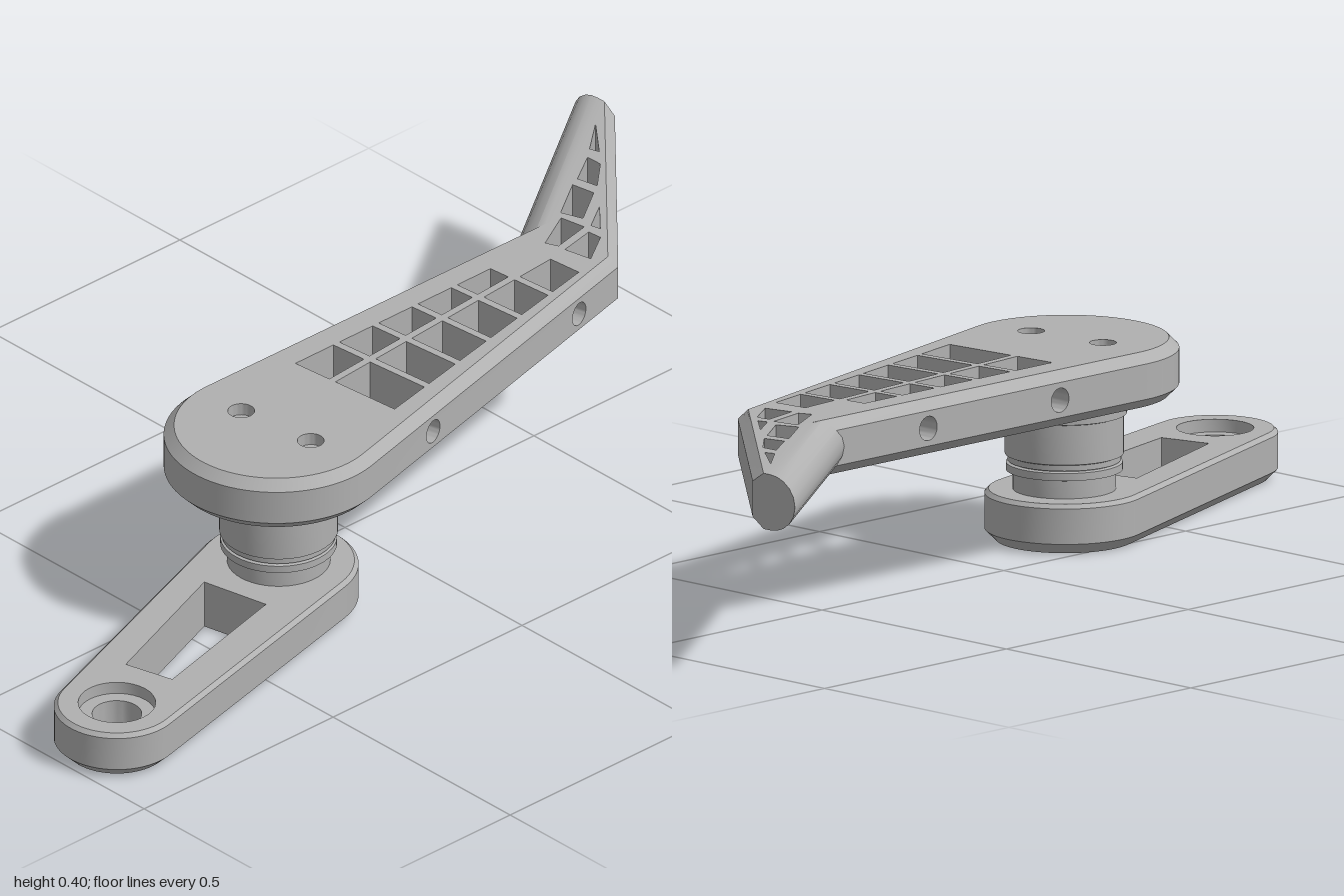
import * as THREE from 'three';
import { toCreasedNormals } from 'three/addons/utils/BufferGeometryUtils.js';

const grey = new THREE.MeshStandardMaterial({ color: 0xb0b0b0 });
grey.name = 'bare metal grey';

// Points on an arc in the (x, z) plane, angles in degrees
function arc(cx, cz, r, from, to, n) {
  return Array.from({ length: n + 1 }, (_, i) => {
    const t = THREE.MathUtils.degToRad(from + ((to - from) * i) / n);
    return [cx + r * Math.cos(t), cz + r * Math.sin(t)];
  });
}
const circle = (cx, cz, r) => arc(cx, cz, r, 0, 360, 32).slice(0, -1);

const area = (pts) => pts.reduce((s, p, i) => {
  const q = pts[(i + 1) % pts.length];
  return s + p[0] * q[1] - q[0] * p[1];
}, 0);
const wound = (pts) => (area(pts) < 0 ? [...pts].reverse() : pts);

// Outward unit normal of each outline edge
const edgeNormals = (pts) => pts.map((p, i) => {
  const q = pts[(i + 1) % pts.length];
  const dx = q[0] - p[0], dz = q[1] - p[1], l = Math.hypot(dx, dz);
  return [dz / l, -dx / l];
});

// Move each edge inward by its own distance and re-intersect the corners
function inset(pts, dist) {
  const n = edgeNormals(pts);
  return pts.map((p, i) => {
    const h = (i + pts.length - 1) % pts.length;
    const [a, b] = [n[h], n[i]], [d, e] = [dist(h), dist(i)];
    const det = a[0] * b[1] - a[1] * b[0];
    if (Math.abs(det) < 1e-3) return [p[0] - b[0] * e, p[1] - b[1] * e];
    return [p[0] + (e * a[1] - d * b[1]) / det, p[1] + (d * b[0] - e * a[0]) / det];
  });
}

// Plate with a shaped edge profile, through holes, pockets in both faces and bores in its edges
function plate({ outline, levels, dist, holes = [], top = [], bottom = [], throughs = [], bores = {}, flat }) {
  const pos = [];
  const tri = (a, b, c, flip) => (flip ? pos.push(...a, ...c, ...b) : pos.push(...a, ...b, ...c));
  const band = (lo, hi, i, flip) => {
    const j = (i + 1) % lo.length;
    tri(lo[i], hi[i], lo[j], flip);
    tri(lo[j], hi[i], hi[j], flip);
  };
  const ring = (lo, hi, flip) => lo.forEach((_, i) => band(lo, hi, i, flip));
  const cap = (contour, inner, map, mirror) => {
    const v = (l) => l.map((p) => new THREE.Vector2(p[0], p[1]));
    const all = [contour, ...inner].flat();
    for (const f of THREE.ShapeUtils.triangulateShape(v(contour), inner.map(v))) {
      const t = f.map((k) => all[k]);
      tri(...t.map(map), (area(t) > 0) !== mirror);
    }
  };
  const pocket = ({ pts, depth, inner }, map, mirror) => {
    const at = (h) => (p) => map(p, h);
    ring(pts.map(at(-depth)), pts.map(at(0)), !mirror);
    cap(pts, inner ? [inner] : [], at(-depth), mirror);
  };

  // Edge profile
  const loops = levels.map((y) => inset(outline, (i) => dist(i, y)).map((p) => [p[0], y, p[1]]));
  for (let k = 0; k + 1 < loops.length; k++) {
    const mid = flat && levels[k] >= flat[0] - 1e-6 && levels[k + 1] <= flat[1] + 1e-6;
    outline.forEach((_, i) => { if (!(mid && bores[i])) band(loops[k], loops[k + 1], i, false); });
  }

  // Bored edge walls
  const normals = edgeNormals(outline);
  for (const i in bores) {
    const n = normals[i], u = [-n[1], n[0]], o = outline[i];
    const map = ([s, y], h) => [o[0] + u[0] * s + n[0] * h, y, o[1] + u[1] * s + n[1] * h];
    const flatten = (p) => [(p[0] - o[0]) * u[0] + (p[2] - o[1]) * u[1], p[1]];
    const mids = loops.filter((_, k) => levels[k] >= flat[0] - 1e-6 && levels[k] <= flat[1] + 1e-6);
    const j = (Number(i) + 1) % outline.length;
    const wall = [...mids.map((l) => flatten(l[j])), ...mids.map((l) => flatten(l[i])).reverse()];
    const rings = bores[i].map((x) => circle((x - o[0]) / u[0], (flat[0] + flat[1]) / 2, 0.024));
    cap(wall, rings, (p) => map(p, 0), false);
    rings.forEach((pts) => pocket({ pts, depth: 0.05 }, map, false));
  }

  // Top and bottom faces with their holes
  const y0 = levels[0], y1 = levels[levels.length - 1];
  const up = (p, h) => [p[0], y1 + h, p[1]], down = (p, h) => [p[0], y0 - h, p[1]];
  const cut = holes.map(wound);
  const flatLoop = (l) => l.map((p) => [p[0], p[2]]);
  cap(flatLoop(loops[loops.length - 1]), [...cut, ...top.map((p) => p.pts)], (p) => up(p, 0), false);
  cap(flatLoop(loops[0]), [...cut, ...bottom.map((p) => p.pts)], (p) => down(p, 0), true);
  top.forEach((p) => pocket(p, up, false));
  bottom.forEach((p) => pocket(p, down, true));
  for (const t of [...cut.map((pts) => ({ pts, lo: y0, hi: y1 })), ...throughs])
    ring(t.pts.map((p) => [p[0], t.lo, p[1]]), t.pts.map((p) => [p[0], t.hi, p[1]]), true);

  const g = new THREE.BufferGeometry();
  g.setAttribute('position', new THREE.Float32BufferAttribute(pos, 3));
  return toCreasedNormals(g, 0.5);
}

// Lower link: two rounded ends, a long slot and a counterbored eye
function lowerLink() {
  const a = { x: -0.88, z: 0.295, r: 0.122 }, b = { x: -0.29, z: 0.12, r: 0.156 };
  const dir = Math.atan2(b.z - a.z, b.x - a.x);
  const len = Math.hypot(b.x - a.x, b.z - a.z);
  const deg = THREE.MathUtils.radToDeg;
  const side = deg(Math.acos((a.r - b.r) / len)), d = deg(dir);
  const outline = [
    ...arc(b.x, b.z, b.r, d - side, d + side, 32),
    ...arc(a.x, a.z, a.r, d + side, d + 360 - side, 28),
  ];
  const eye = circle(a.x, a.z, 0.048);
  return plate({
    outline,
    levels: [0, 0.022, 0.092, 0.1],
    dist: (i, y) => Math.max(0, 0.022 - y, y - 0.092),
    holes: [[[-0.77, 0.203], [-0.45, 0.083], [-0.42, 0.225], [-0.743, 0.305]]],
    top: [{ pts: circle(a.x, a.z, 0.075), depth: 0.025, inner: eye }],
    bottom: [
      { pts: circle(a.x, a.z, 0.085), depth: 0.025, inner: eye },
      ...[-45, 75, 195].map((t) => {
        const [[x, z]] = arc(b.x, b.z, 0.06, t, t, 1);
        return { pts: circle(x, z, 0.026), depth: 0.04 };
      }),
    ],
    throughs: [{ pts: eye, lo: 0.025, hi: 0.075 }],
  });
}

// Lattice openings of the lever
function latticeCells() {
  const cells = [];
  const mid = (x) => 0.065 - 0.08 * (x + 0.1), low = (x) => 0.22 - 0.208 * (x + 0.075);
  const cell = (x0, x1, zt, zb) => {
    const at = (x, f) => { const z = f(x); return [x + 0.09 * z, z]; };
    cells.push([at(x0, zt), at(x1, zt), at(x1, zb), at(x0, zb)]);
  };
  for (let c = 0; c < 6; c++) {
    const x0 = c ? 0.008 + 0.104 * (c - 1) + 0.008 : -0.1, x1 = 0.104 * c;
    if (c < 5) cell(x0, x1, () => -0.03, (x) => mid(x) - 0.008);
    cell(x0, x1, (x) => mid(x) + 0.008, low);
  }
  cells.push(
    [[0.556, -0.028], [0.642, -0.075], [0.652, -0.02], [0.567, -0.002]],
    [[0.567, 0.016], [0.645, 0], [0.648, 0.03], [0.58, 0.075]],
    [[0.655, -0.09], [0.743, -0.15], [0.752, -0.1], [0.672, -0.045]],
    [[0.665, -0.015], [0.725, -0.055], [0.67, 0.006]],
    [[0.765, -0.16], [0.834, -0.205], [0.835, -0.17], [0.775, -0.115]],
    [[0.858, -0.225], [0.93, -0.285], [0.865, -0.205]],
  );
  return cells;
}

// Upper lever: round hub, tapering lattice blade and a bent tip with a rounded back
function upperLever() {
  const outline = [[1, -0.42], [1, -0.305], [0.62, 0.11], ...arc(-0.287, 0.113, 0.218, 76, 270, 48), [0.54, -0.1]];
  const n = outline.length, mid = 0.345, R = 0.055;
  const half = [0.019, 0.035, 0.047, 0.053, R];
  const dist = (i, y) => {
    const d = Math.abs(y - mid);
    if (i === 0) return 0;
    if (i === n - 1) return R - Math.sqrt(Math.max(0, R * R - d * d));
    return Math.max(0, d - 0.035);
  };
  return plate({
    outline,
    levels: [...half.map((d) => -d).reverse(), 0, ...half].map((d) => mid + d),
    dist,
    holes: latticeCells(),
    top: [[-0.3, 0.027], [-0.278, 0.2]].map(([x, z]) => ({ pts: circle(x, z, 0.026), depth: 0.025 })),
    bores: { 2: [-0.02, 0.485], [n - 2]: [-0.05, 0.31] },
    flat: [mid - 0.035, mid + 0.035],
  });
}

// Stepped pivot with a retaining-ring groove
function pivot() {
  const profile = [
    [0.1, 0.095], [0.1, 0.135], [0.113, 0.138], [0.113, 0.153], [0.105, 0.155], [0.105, 0.157], [0.11, 0.157],
    [0.11, 0.168], [0.115, 0.17], [0.115, 0.248], [0.121, 0.25], [0.121, 0.295],
  ].map(([r, y]) => new THREE.Vector2(r, y));
  return toCreasedNormals(new THREE.LatheGeometry(profile, 48), 0.5).translate(-0.288, 0, 0.12);
}

export function createModel() {
  const model = new THREE.Group();
  model.name = 'leverAssembly';
  const add = (name, geometry) => {
    const mesh = new THREE.Mesh(geometry, grey);
    mesh.name = name;
    model.add(mesh);
  };
  add('lowerLink', lowerLink());
  add('pivot', pivot());
  add('upperLever', upperLever());
  return model;
}
